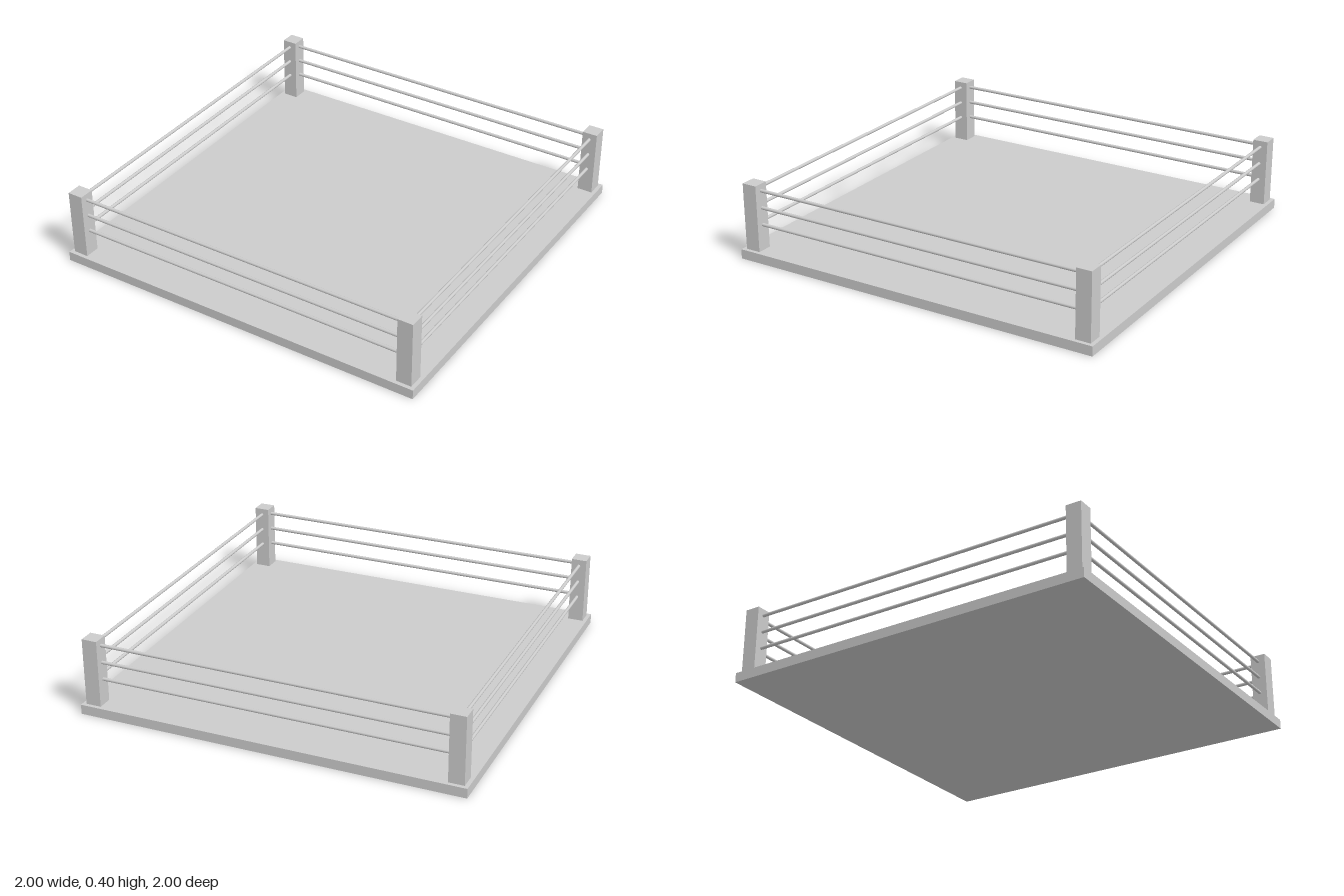
import * as THREE from 'three';

const POST = 0.94;      // distance of post centres from the middle
const POST_SIZE = 0.08;
const BASE_H = 0.05;
const TOP = 0.4;
const ROPE_R = 0.0085;
const ROPE_HEIGHTS = [0.184, 0.274, 0.365];

export function createModel() {
  const group = new THREE.Group();
  const material = new THREE.MeshStandardMaterial({ color: 0xcccccc });

  const add = (name, geometry, x, y, z, parent = group) => {
    const mesh = new THREE.Mesh(geometry, material);
    mesh.name = name;
    mesh.position.set(x, y, z);
    parent.add(mesh);
    return mesh;
  };

  // Square platform
  add('platform', new THREE.BoxGeometry(2, BASE_H, 2), 0, BASE_H / 2, 0);

  // Corner posts standing on the platform
  const postGeometry = new THREE.BoxGeometry(POST_SIZE, TOP - BASE_H, POST_SIZE);
  for (const [side, sx] of [['Left', 1], ['Right', -1]]) {
    for (const [end, sz] of [['front', 1], ['back', -1]]) {
      add(`${end}${side}Post`, postGeometry, sx * POST, (TOP + BASE_H) / 2, sz * POST);
    }
  }

  // Three round ropes per side, running between the inner faces of the posts
  const ropeGeometry = new THREE.CylinderGeometry(ROPE_R, ROPE_R, 2 * POST - POST_SIZE, 16, 1, true);
  ropeGeometry.rotateZ(Math.PI / 2);
  ['front', 'left', 'back', 'right'].forEach((side, i) => {
    const ropes = new THREE.Group();
    ropes.name = `${side}Ropes`;
    ropes.rotation.y = i * Math.PI / 2;
    for (const y of ROPE_HEIGHTS) add('rope', ropeGeometry, 0, y, POST, ropes);
    group.add(ropes);
  });

  return group;
}
